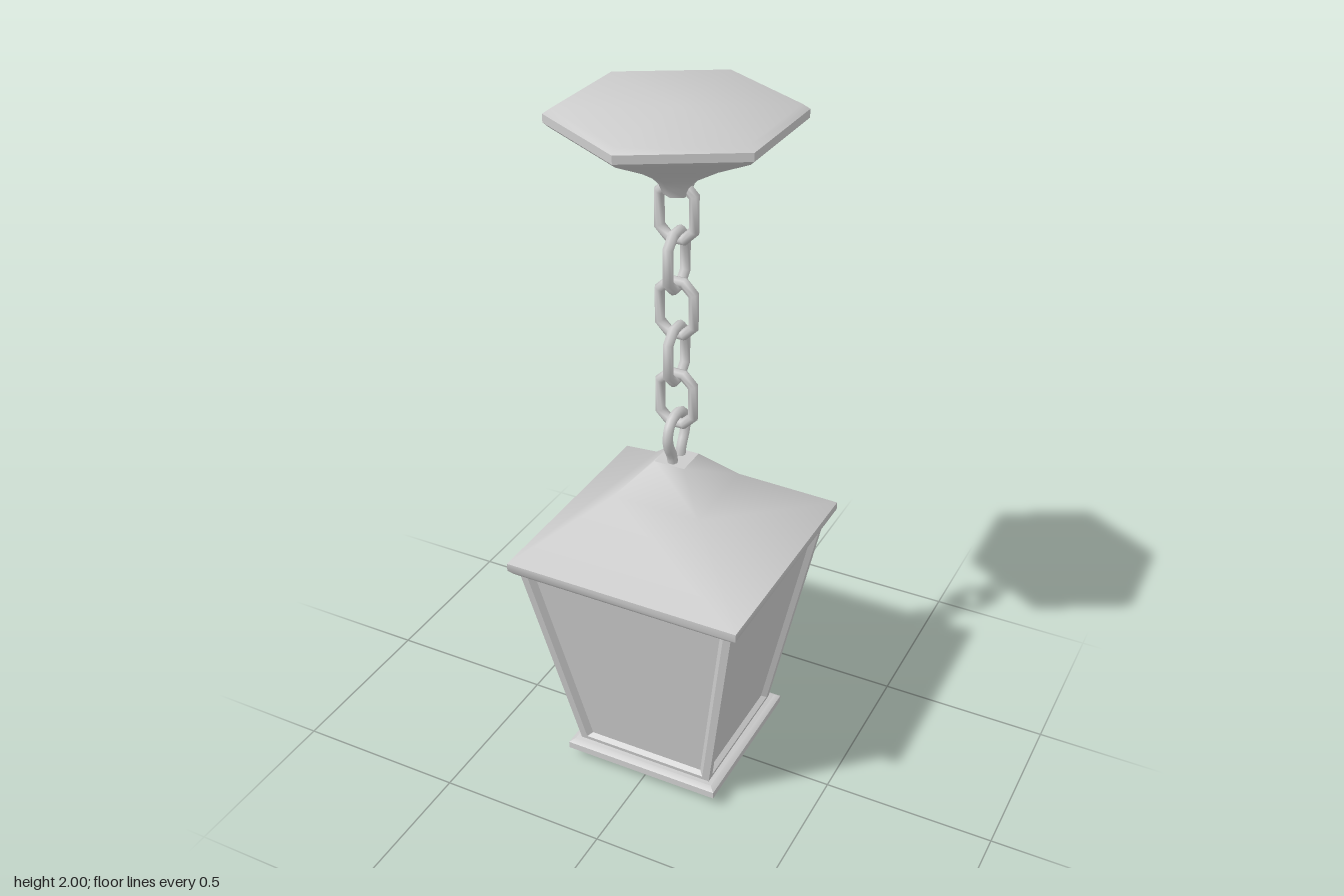
import * as THREE from 'three';
import { toCreasedNormals } from 'three/addons/utils/BufferGeometryUtils.js';

const material = new THREE.MeshStandardMaterial({ color: 0xcccccc });

function addMesh(parent, name, geometry) {
  const mesh = new THREE.Mesh(geometry, material);
  mesh.name = name;
  parent.add(mesh);
  return mesh;
}

// Stacked regular-polygon sections, [radius, height] from bottom to top
function turned(profile, sides, phiStart, crease) {
  const points = profile.map(([r, y]) => new THREE.Vector2(r, y));
  return toCreasedNormals(new THREE.LatheGeometry(points, sides, phiStart), crease);
}

// Square sections given by their half width
const square = (profile, crease) =>
  turned(profile.map(([h, y]) => [h * Math.SQRT2, y]), 4, Math.PI / 4, crease);

// One sloping wall: flat frame, bevel, then a recessed pane
function wallGeometry() {
  const half = (y) => 0.2 + 0.173 * y;
  const rings = [[0, 0, 0.06, 0.715], [0.022, 0, 0.08, 0.7], [0.037, 0.015, 0.09, 0.69]];
  const loops = rings.map(([inset, depth, y0, y1]) =>
    [[-1, y0], [1, y0], [1, y1], [-1, y1]].map(([s, y]) => [s * (half(y) - inset), y, half(y) - depth]));
  const positions = [];
  const quad = (a, b, c, d) => positions.push(...a, ...b, ...c, ...a, ...c, ...d);
  for (let k = 0; k < 2; k++) {
    for (let i = 0; i < 4; i++) {
      const j = (i + 1) % 4;
      quad(loops[k][i], loops[k][j], loops[k + 1][j], loops[k + 1][i]);
    }
  }
  quad(...loops[2]);
  const geometry = new THREE.BufferGeometry();
  geometry.setAttribute('position', new THREE.Float32BufferAttribute(positions, 3));
  geometry.computeVertexNormals();
  return geometry;
}

// Octagonal ring stretched into a chain link
function linkGeometry() {
  const geometry = new THREE.TorusGeometry(0.053, 0.015, 8, 8);
  geometry.rotateZ(Math.PI / 8);
  const p = geometry.attributes.position;
  for (let i = 0; i < p.count; i++) p.setY(i, p.getY(i) + Math.sign(p.getY(i)) * 0.026);
  return geometry;
}

export function createModel() {
  const model = new THREE.Group();
  model.name = 'hangingLantern';

  // Hexagonal ceiling mount
  const mount = new THREE.Group();
  mount.name = 'ceilingMount';
  model.add(mount);
  addMesh(mount, 'mountBell', turned(
    [[0, 1.775], [0.035, 1.775], [0.045, 1.8], [0.075, 1.83], [0.18, 1.89], [0.31, 1.953], [0.325, 1.965]],
    6, 0, 1.1));
  addMesh(mount, 'mountPlate', turned([[0.325, 1.965], [0.325, 1.987], [0.305, 2], [0, 2]], 6, 0, 0.9));

  // Chain of alternating links
  const chain = new THREE.Group();
  chain.name = 'chain';
  model.add(chain);
  const link = linkGeometry();
  for (let i = 0; i < 5; i++) {
    const mesh = addMesh(chain, 'chainLink', link);
    mesh.position.y = 1.728 - i * 0.135;
    mesh.rotation.y = (i % 2) * Math.PI / 2;
  }

  // Horseshoe hook set into the roof
  const side = [[0.022, 0.98], [0.028, 1.02], [0.048, 1.06], [0.053, 1.09], [0.042, 1.12], [0.02, 1.136]];
  const path = [...side, ...side.map(([z, y]) => [-z, y]).reverse()]
    .map(([z, y]) => new THREE.Vector3(0, y, z));
  addMesh(model, 'hook', new THREE.TubeGeometry(new THREE.CatmullRomCurve3(path), 24, 0.015, 8));

  // Roof and eave
  addMesh(model, 'roof', square([[0.347, 0.75], [0.13, 0.91], [0.045, 1]], 1.1));
  addMesh(model, 'roofCap', square([[0.045, 1], [0, 1]], 0.6));
  addMesh(model, 'eave', square(
    [[0, 0.705], [0.318, 0.705], [0.335, 0.712], [0.347, 0.727], [0.347, 0.75]], 0.9));

  // Four framed walls
  const wall = wallGeometry();
  for (let i = 0; i < 4; i++) addMesh(model, 'wall', wall).rotation.y = i * Math.PI / 2;

  // Base
  addMesh(model, 'base', square(
    [[0, 0], [0.15, 0], [0.165, 0.006], [0.24, 0.037], [0.24, 0.058], [0.225, 0.068], [0, 0.068]], 0.7));

  return model;
}
